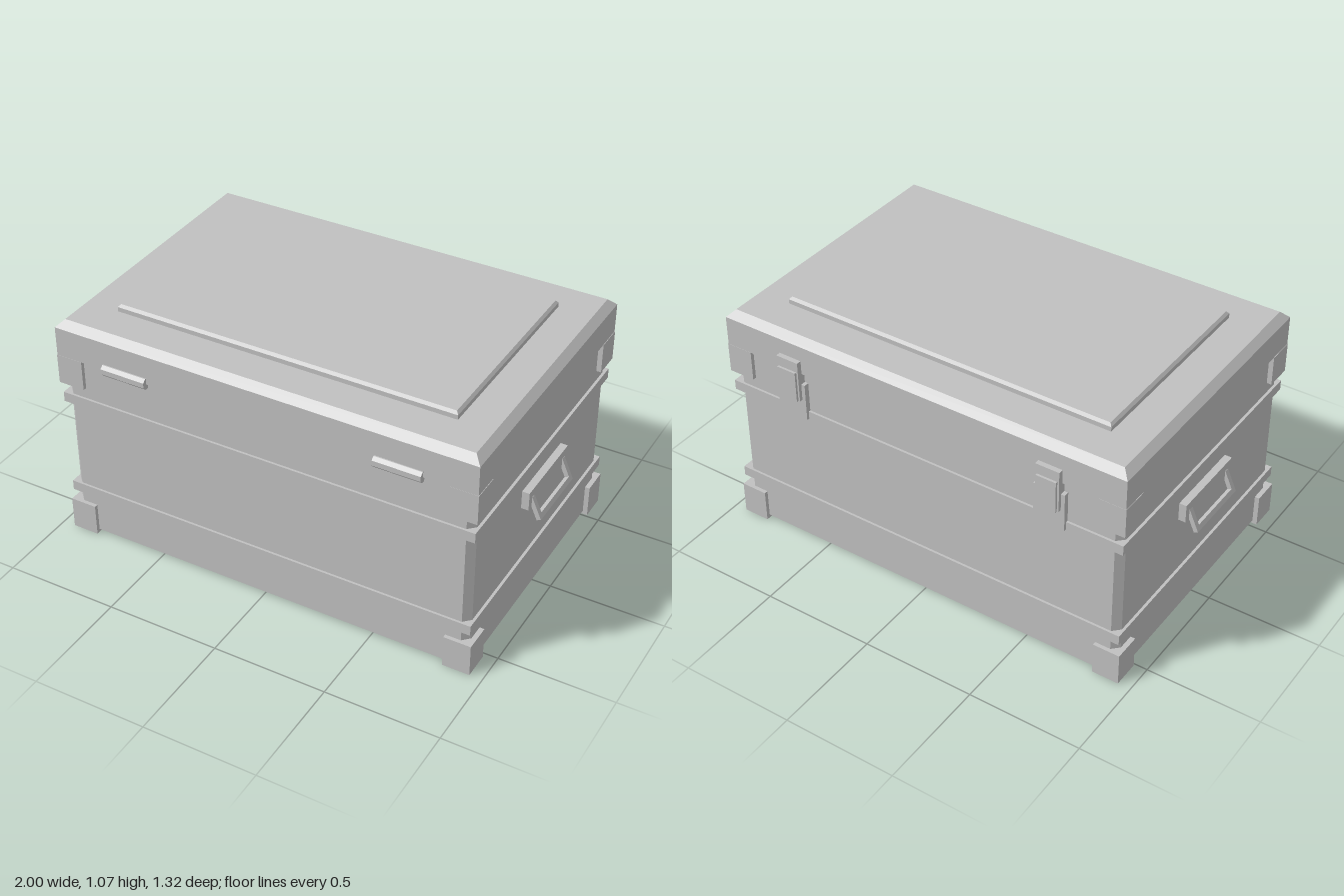
import * as THREE from 'three';

const grey = new THREE.MeshStandardMaterial({ color: 0xc0c0c0 });
grey.name = 'plainGrey';

function add(parent, name, geometry, x = 0, y = 0, z = 0) {
  const mesh = new THREE.Mesh(geometry, grey);
  mesh.name = name;
  mesh.position.set(x, y, z);
  parent.add(mesh);
  return mesh;
}

// Box given by its lower and upper limits
function block(parent, name, [x0, x1], [y0, y1], [z0, z1]) {
  return add(parent, name, new THREE.BoxGeometry(x1 - x0, y1 - y0, z1 - z0),
    (x0 + x1) / 2, (y0 + y1) / 2, (z0 + z1) / 2);
}

// Centred slab whose top face is pulled in to make a bevel
function bevelSlab(parent, name, hx, hz, y0, y1, inset) {
  const g = new THREE.BoxGeometry(hx * 2, y1 - y0, hz * 2);
  const p = g.attributes.position;
  for (let i = 0; i < p.count; i++) {
    if (p.getY(i) < 0) continue;
    p.setX(i, p.getX(i) - Math.sign(p.getX(i)) * inset);
    p.setZ(i, p.getZ(i) - Math.sign(p.getZ(i)) * inset);
  }
  g.computeVertexNormals();
  return add(parent, name, g, 0, (y0 + y1) / 2, 0);
}

export function createModel() {
  const model = new THREE.Group();
  model.name = 'storageCase';
  const box = new THREE.Group();
  box.name = 'case';
  box.position.z = 0.006;
  model.add(box);

  // Body with cut vertical corners
  const hx = 0.923, hz = 0.618, c = 0.03;
  const outline = new THREE.Shape([
    [hx - c, -hz], [hx, -hz + c], [hx, hz - c], [hx - c, hz],
    [-hx + c, hz], [-hx, hz - c], [-hx, -hz + c], [-hx + c, -hz],
  ].map(([x, y]) => new THREE.Vector2(x, y)));
  const body = new THREE.ExtrudeGeometry(outline, { depth: 0.9, bevelEnabled: false });
  body.rotateX(-Math.PI / 2);
  add(box, 'body', body, 0, 0.015, 0);

  // Bands around the body
  for (const y of [0.195, 0.65]) {
    block(box, 'band', [-0.935, 0.935], [y, y + 0.045], [-0.628, 0.628]);
  }

  // Lid with bevelled rim and raised panel
  block(box, 'lidRim', [-0.942, 0.942], [0.878, 1.008], [-0.634, 0.634]);
  bevelSlab(box, 'lidTop', 0.942, 0.634, 1.008, 1.04, 0.032);
  block(box, 'lidPanelBase', [-0.76, 0.76], [1.035, 1.06], [-0.451, 0.451]);
  bevelSlab(box, 'lidPanelTop', 0.76, 0.451, 1.06, 1.072, 0.01);

  // Feet and lid corner guards
  for (const sx of [-1, 1]) for (const sz of [-1, 1]) {
    const x = [0.825 * sx, 0.944 * sx].sort((a, b) => a - b);
    const z = [0.515 * sz, 0.635 * sz].sort((a, b) => a - b);
    block(box, 'foot', x, [0, 0.145], z);
    block(box, 'lidCorner', x, [0.745, 0.878], z);
  }

  // Front hinges with sloped upper and lower edges
  const hingeProfile = new THREE.Shape([
    [-0.63, 0.855], [-0.63, 0.905], [-0.645, 0.905], [-0.66, 0.893], [-0.66, 0.87], [-0.645, 0.855],
  ].map(([x, y]) => new THREE.Vector2(x, y)));
  const hinge = new THREE.ExtrudeGeometry(hingeProfile, { depth: 0.205, bevelEnabled: false });
  hinge.translate(0, 0, -0.1025).rotateY(Math.PI / 2);
  for (const x of [-0.613, 0.613]) add(model, 'hinge', hinge, x);

  // Back latches
  for (const x of [-0.615, 0.615]) {
    const latch = new THREE.Group();
    latch.name = 'latch';
    latch.position.x = x;
    model.add(latch);
    block(latch, 'latchPlate', [-0.07, 0.07], [0.66, 0.83], [-0.635, -0.6]);
    block(latch, 'latchCatch', [-0.053, 0.053], [0.755, 0.94], [-0.65, -0.6]);
    block(latch, 'latchLever', [-0.045, 0.045], [0.755, 0.895], [-0.66, -0.64]);
  }

  // Side handles: mounting plate and a slanted drop bail
  for (const turn of [0, Math.PI]) {
    const handle = new THREE.Group();
    handle.name = turn ? 'rightHandle' : 'leftHandle';
    handle.rotation.y = turn;
    box.add(handle);
    block(handle, 'handlePlate', [0.91, 0.955], [0.508, 0.59], [-0.183, 0.183]);
    const bail = new THREE.Group();
    bail.name = 'bail';
    bail.position.set(0.947, 0.55, 0);
    bail.rotation.z = 0.42;
    handle.add(bail);
    for (const z of [-0.144, 0.144]) {
      block(bail, 'bailArm', [-0.01, 0.01], [-0.105, 0], [z - 0.011, z + 0.011]);
    }
    block(bail, 'bailGrip', [-0.01, 0.01], [-0.105, -0.083], [-0.155, 0.155]);
  }

  return model;
}
